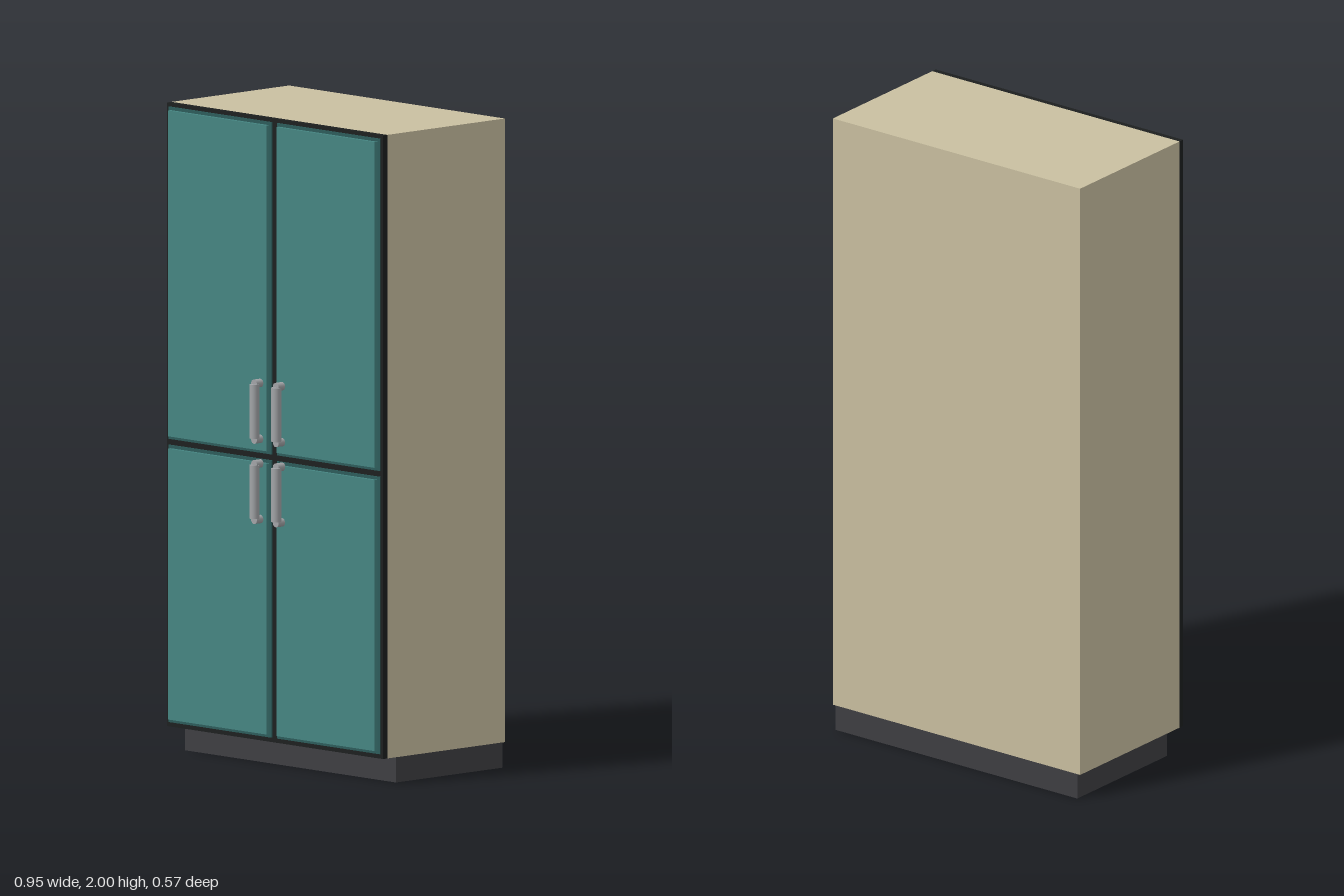
import * as THREE from 'three';

const mat = (name, color) => {
  const m = new THREE.MeshStandardMaterial({ color });
  m.name = name;
  return m;
};

export function createModel() {
  const model = new THREE.Group();
  model.name = 'cabinet';
  const cream = mat('cream', 0xc9bfa0);
  const black = mat('black', 0x1c1f1f);
  const charcoal = mat('charcoal', 0x3e3e42);
  const teal = mat('teal', 0x458582);
  const darkTeal = mat('dark teal', 0x2c5c5b);
  const steel = mat('steel', 0xa2a4a7);

  // Box given by its lower and upper limits on each axis
  const box = (parent, name, material, [x0, x1], [y0, y1], [z0, z1]) => {
    const mesh = new THREE.Mesh(new THREE.BoxGeometry(x1 - x0, y1 - y0, z1 - z0), material);
    mesh.position.set((x0 + x1) / 2, (y0 + y1) / 2, (z0 + z1) / 2);
    mesh.name = name;
    parent.add(mesh);
  };

  // Carcass, recessed plinth and the dark frame behind the doors
  box(model, 'body', cream, [-0.476, 0.476], [0.08, 2], [-0.286, 0.209]);
  box(model, 'plinth', charcoal, [-0.465, 0.465], [0, 0.08], [-0.286, 0.162]);
  box(model, 'doorFrame', black, [-0.476, 0.476], [0.08, 2], [0.209, 0.227]);

  // Upright bar on two short round posts
  const handle = (x, y0, y1) => {
    const g = new THREE.Group();
    g.name = 'handle';
    const bar = new THREE.Mesh(new THREE.CylinderGeometry(0.0155, 0.0155, y1 - y0, 24), steel);
    bar.name = 'handleBar';
    bar.position.set(x, (y0 + y1) / 2, 0.268);
    g.add(bar);
    for (const y of [y0 - 0.004, y1 + 0.002]) {
      const post = new THREE.Mesh(new THREE.CylinderGeometry(0.013, 0.013, 0.028, 20), steel);
      post.name = 'handlePost';
      post.rotation.x = Math.PI / 2;
      post.position.set(x, y, 0.256);
      g.add(post);
    }
    return g;
  };

  // Four doors: thin dark rim, raised panel and a handle near the centre
  const rows = [
    { name: 'upper', y: [0.976, 1.979], bar: [1.016, 1.182] },
    { name: 'lower', y: [0.104, 0.938], bar: [0.769, 0.934] },
  ];
  for (const side of [-1, 1]) {
    for (const row of rows) {
      const door = new THREE.Group();
      door.name = row.name + (side > 0 ? 'LeftDoor' : 'RightDoor');
      const xs = side > 0 ? [0.022, 0.456] : [-0.456, -0.022];
      const grow = ([a, b]) => [a - 0.01, b + 0.01];
      box(door, 'doorRim', darkTeal, grow(xs), grow(row.y), [0.227, 0.231]);
      box(door, 'doorPanel', teal, xs, row.y, [0.229, 0.243]);
      door.add(handle(side * 0.048, ...row.bar));
      model.add(door);
    }
  }
  return model;
}
